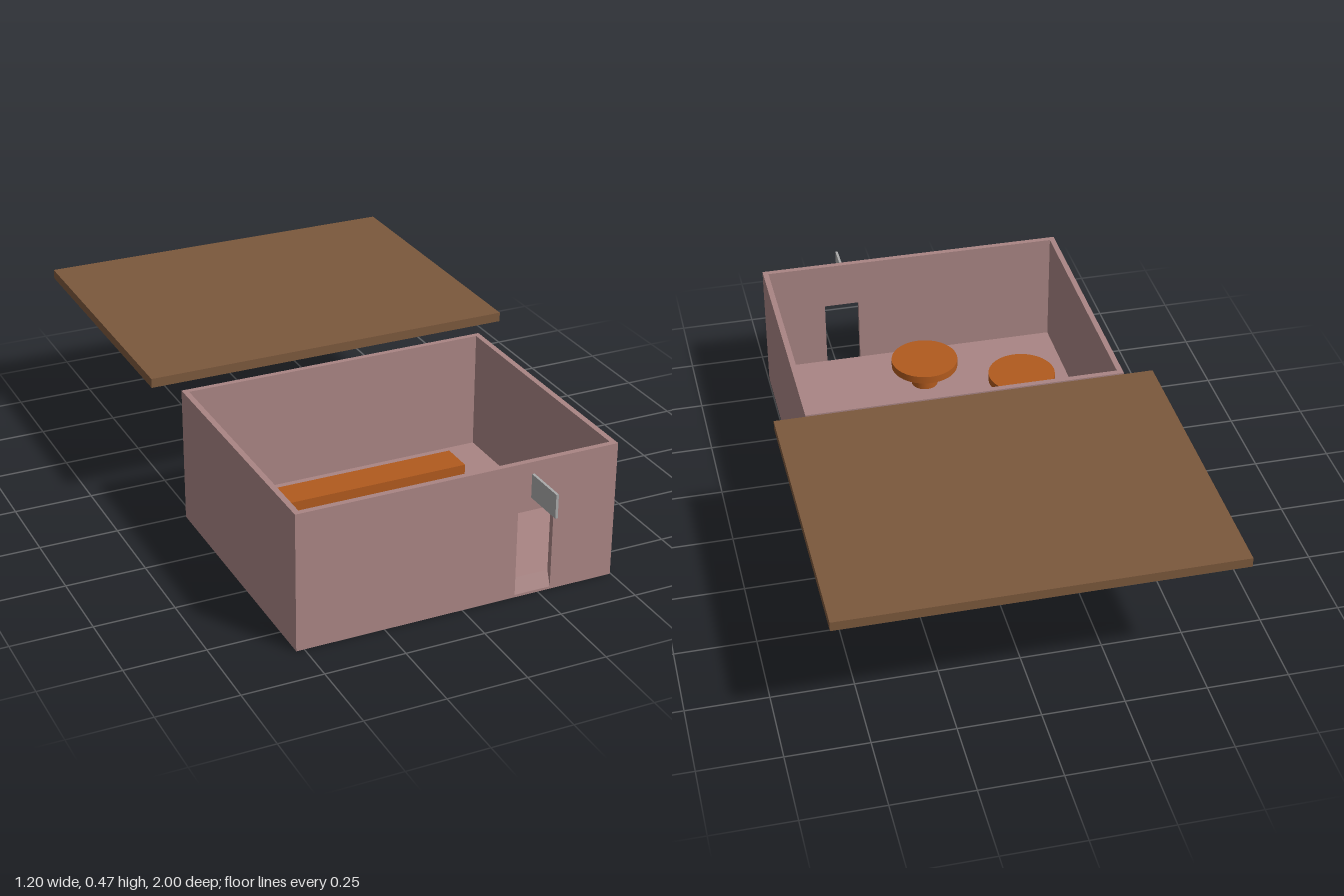
import * as THREE from 'three';

const material = (color) => new THREE.MeshStandardMaterial({ color });

export function createModel() {
  const model = new THREE.Group();
  const wallMat = material(0xa98584);
  const roofMat = material(0x7b583c);
  const woodMat = material(0xb15a1e);
  const signMat = material(0xaaaaaa);

  const add = (name, geometry, mat, parent = model) => {
    const mesh = new THREE.Mesh(geometry, mat);
    mesh.name = name;
    parent.add(mesh);
    return mesh;
  };
  // Box given by its lower and upper limits on each axis
  const box = (name, [x0, x1], [y0, y1], [z0, z1], mat, parent) =>
    add(name, new THREE.BoxGeometry(x1 - x0, y1 - y0, z1 - z0), mat, parent)
      .position.set((x0 + x1) / 2, (y0 + y1) / 2, (z0 + z1) / 2);

  // Room shell
  const X0 = -0.525, X1 = 0.497, Z0 = 0.005, Z1 = 0.862, H = 0.438, T = 0.018, FLOOR = 0.055;
  const room = new THREE.Group();
  room.name = 'room';
  model.add(room);
  box('floor', [X0 + T, X1 - T], [0, FLOOR], [Z0 + T, Z1 - T], wallMat, room);
  box('backWall', [X0, X1], [0, H], [Z0, Z0 + T], wallMat, room);
  box('rightWall', [X0, X0 + T], [0, H], [Z0 + T, Z1 - T], wallMat, room);
  box('leftWall', [X1 - T, X1], [0, H], [Z0 + T, Z1 - T], wallMat, room);

  // Front wall with a doorway
  const D0 = 0.173, D1 = 0.291, SILL = 0.008, DOOR_TOP = 0.281;
  const front = new THREE.Shape([[X0, 0], [X1, 0], [X1, H], [X0, H]].map((p) => new THREE.Vector2(...p)));
  front.holes.push(new THREE.Path(
    [[D0, SILL], [D0, DOOR_TOP], [D1, DOOR_TOP], [D1, SILL]].map((p) => new THREE.Vector2(...p))));
  add('frontWall', new THREE.ExtrudeGeometry(front, { depth: T, bevelEnabled: false }), wallMat, room)
    .position.z = Z1 - T;

  // Sloped threshold from the sill up to the floor
  const slope = new THREE.Shape([[0, SILL], [T, SILL], [0, FLOOR]].map((p) => new THREE.Vector2(...p)));
  const threshold = add('threshold',
    new THREE.ExtrudeGeometry(slope, { depth: D1 - D0, bevelEnabled: false }), wallMat, room);
  threshold.rotation.y = -Math.PI / 2;
  threshold.position.set(D1, 0, Z1 - T);

  // Counter along the back
  box('counter', [-0.487, 0.303], [FLOOR, 0.141], [0.19, 0.297], woodMat);

  // Round pedestal tables
  for (const [x, z] of [[-0.318, 0.482], [-0.014, 0.64]]) {
    const table = new THREE.Group();
    table.name = 'table';
    table.position.set(x, 0, z);
    model.add(table);
    add('tableTop', new THREE.CylinderGeometry(0.113, 0.113, 0.026, 48), woodMat, table).position.y = 0.139;
    add('tableStem', new THREE.CylinderGeometry(0.045, 0.045, 0.075, 32), woodMat, table)
      .position.y = FLOOR + 0.0365;
  }

  // Lifted-off roof slab behind the room
  box('roof', [-0.602, 0.602], [0.44, 0.47], [-1, -0.046], roofMat);

  // Blank sign board projecting over the door
  box('sign', [0.214, 0.222], [0.323, 0.399], [Z1, 1], signMat);

  return model;
}
